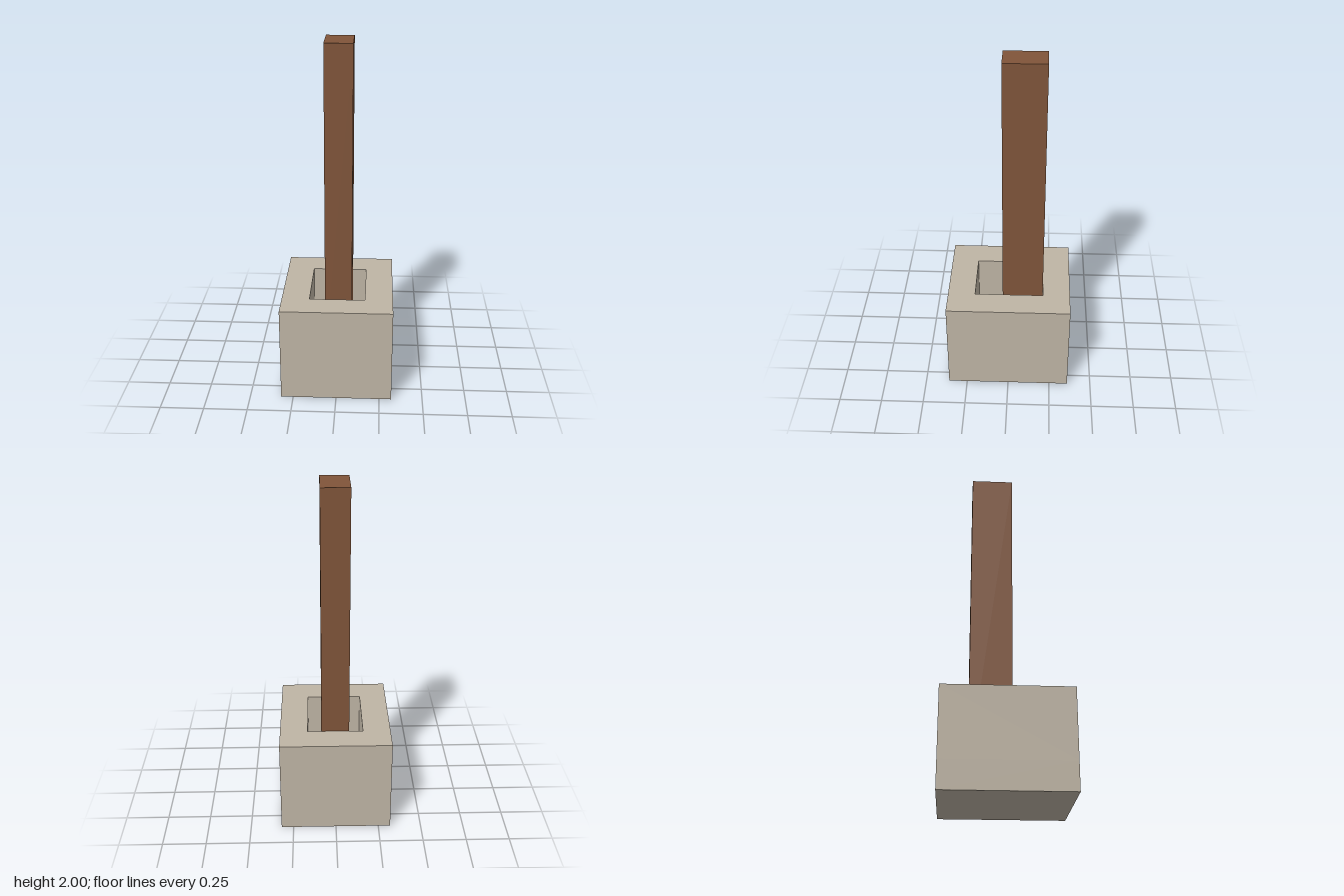
import * as THREE from 'three';

const stone = new THREE.MeshStandardMaterial({ color: 0xbfb5a5 });
stone.name = 'stone';
const wood = new THREE.MeshStandardMaterial({ color: 0x80553a });
wood.name = 'wood';

const WIDTH = 0.64, DEPTH = 0.72, HEIGHT = 0.56; // footing block
const WALL = 0.16, FLOOR = 0.16;                 // socket wall and floor thickness

function box(name, material, w, h, d, y, z) {
  const mesh = new THREE.Mesh(new THREE.BoxGeometry(w, h, d), material);
  mesh.name = name;
  mesh.position.set(0, y + h / 2, z);
  return mesh;
}

function rectangle(target, w, d) {
  target.moveTo(-w / 2, -d / 2);
  target.lineTo(w / 2, -d / 2);
  target.lineTo(w / 2, d / 2);
  target.lineTo(-w / 2, d / 2);
  target.closePath();
  return target;
}

export function createModel() {
  const model = new THREE.Group();
  model.name = 'postInFooting';

  // Footing: a solid base slab with a rectangular socket rising from it
  const footing = new THREE.Group();
  footing.name = 'footing';
  footing.add(box('footingBase', stone, WIDTH, FLOOR, DEPTH, 0, 0));

  const outline = rectangle(new THREE.Shape(), WIDTH, DEPTH);
  outline.holes.push(rectangle(new THREE.Path(), WIDTH - 2 * WALL, DEPTH - 2 * WALL));
  const wallGeometry = new THREE.ExtrudeGeometry(outline, { depth: HEIGHT - FLOOR, bevelEnabled: false });
  wallGeometry.rotateX(-Math.PI / 2);
  const walls = new THREE.Mesh(wallGeometry, stone);
  walls.name = 'footingWalls';
  walls.position.y = FLOOR;
  footing.add(walls);
  model.add(footing);

  // Post: stands on the socket floor, against the back wall
  model.add(box('post', wood, 0.16, 2 - FLOOR, 0.24, FLOOR, -0.08));

  return model;
}
